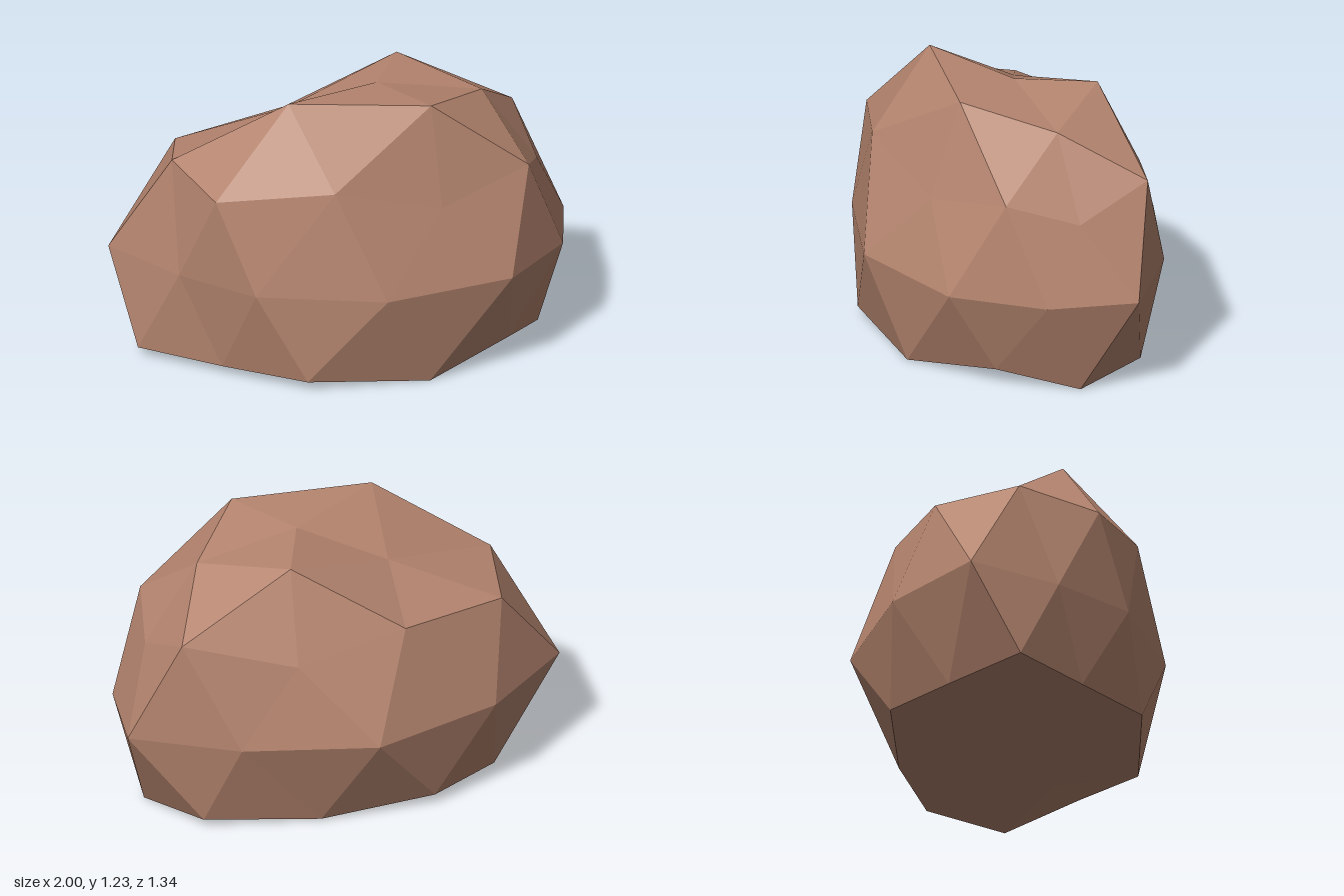
import * as THREE from 'three';

// Boulder: a once-subdivided icosahedron whose vertices are pushed in and out,
// stretched, leaned along its long axis, turned and cut flat at the ground.
const CENTRE = new THREE.Vector3(0.08, 0.44, 0.015);
const TURN = THREE.MathUtils.degToRad(15.8);
const SCALE = { y: 0.875, z: 0.646 };
const LEAN = 0.135;

// One ring of vertices: height on the unit sphere, start angle and radii
function ring(height, startDeg, radii) {
  const flat = Math.sqrt(1 - height * height);
  return radii.map((r, i) => {
    const a = THREE.MathUtils.degToRad(startDeg + (360 / radii.length) * i);
    const p = new THREE.Vector3(
      r * flat * Math.cos(a), r * height * SCALE.y, r * flat * Math.sin(a) * SCALE.z);
    p.x += LEAN * p.y;
    p.applyAxisAngle(new THREE.Vector3(0, 1, 0), TURN).add(CENTRE);
    p.y = Math.max(p.y, 0);
    return p;
  });
}

function boulderGeometry() {
  const [top] = ring(1, 0, [0.875]);
  const crown = ring(0.851, 0, [0.925, 1.04, 1.06, 0.82, 1.02]);
  const shoulder = ring(0.447, 0, [0.872, 0.88, 1.05, 1.08, 0.935]);
  const shoulderMid = ring(0.526, 36, [0.96, 1.045, 1.043, 1.0, 1.056]);
  const waist = ring(0, 18,
    [0.949, 1.015, 1.05, 0.943, 0.872, 1.114, 1.054, 1.105, 0.982, 1.047]);
  const foot = ring(-0.447, 36, [0.94, 1.02, 1.03, 1.0, 1.03]);
  const footMid = ring(-0.526, 0, [1.054, 1.08, 0.88, 0.95, 0.94]);
  const base = ring(-0.851, 36, [1, 1, 1, 1, 1]);
  const [bottom] = ring(-1, 0, [1]);

  const points = [];
  // Corners a, b, c and the vertices between ab, bc and ca
  const patch = (a, b, c, ab, bc, ca) =>
    points.push(a, ab, ca, ab, b, bc, ca, bc, c, ab, bc, ca);

  for (let k = 0; k < 5; k++) {
    const n = (k + 1) % 5;
    const w0 = waist[2 * k], w1 = waist[2 * k + 1], w2 = waist[(2 * k + 2) % 10];
    patch(top, shoulder[n], shoulder[k], crown[n], shoulderMid[k], crown[k]);
    patch(shoulder[k], shoulder[n], foot[k], shoulderMid[k], w1, w0);
    patch(foot[k], shoulder[n], foot[n], w1, w2, footMid[n]);
    patch(foot[k], foot[n], bottom, footMid[n], base[n], base[k]);
  }
  const geometry = new THREE.BufferGeometry().setFromPoints(points);
  geometry.computeVertexNormals();
  return geometry;
}

export function createModel() {
  const stone = new THREE.MeshStandardMaterial({ color: 0xb5856f, flatShading: true });
  stone.name = 'reddish brown stone';
  const boulder = new THREE.Mesh(boulderGeometry(), stone);
  boulder.name = 'boulder';
  const group = new THREE.Group();
  group.name = 'rock';
  group.add(boulder);
  return group;
}
